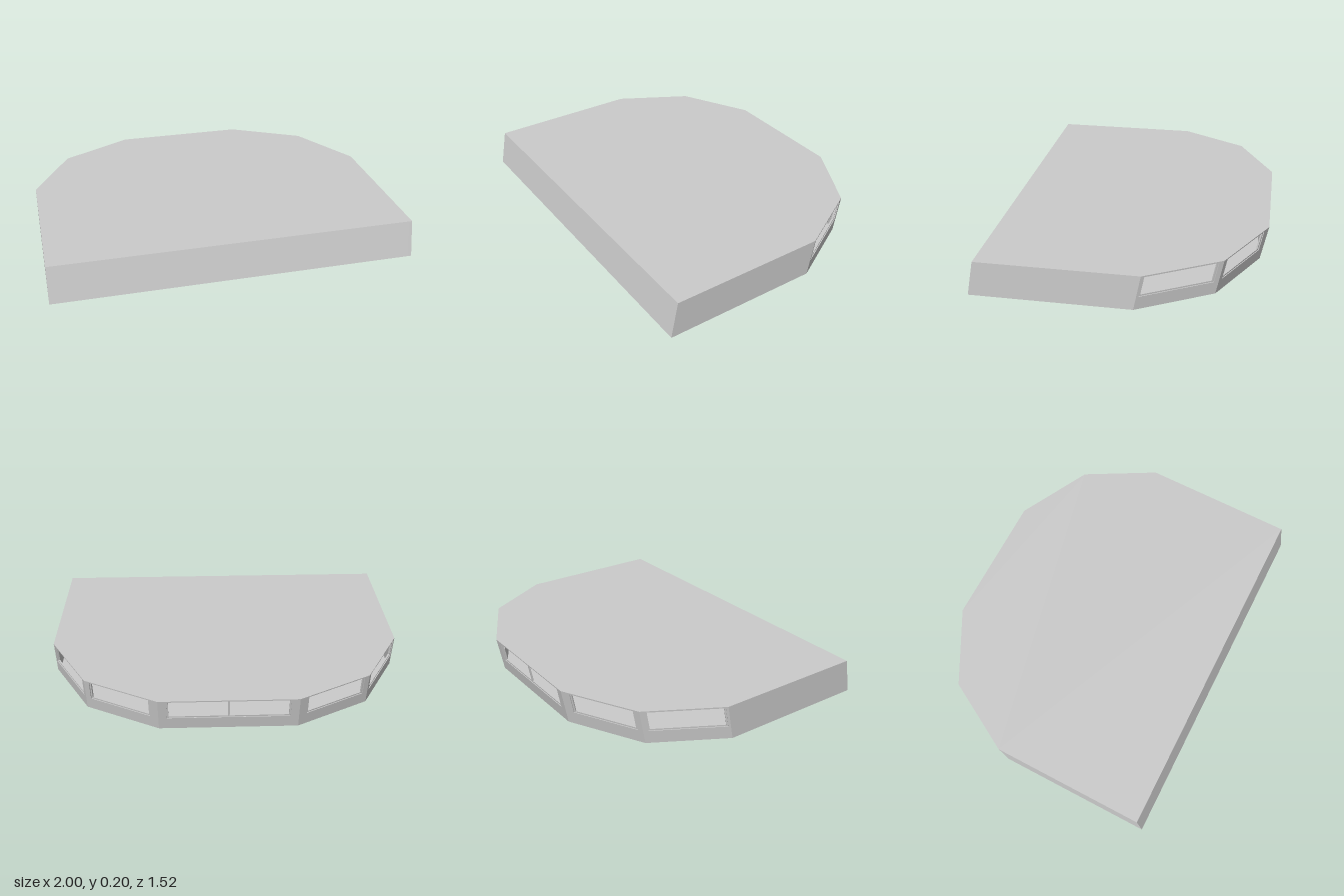
import * as THREE from 'three';

const HEIGHT = 0.2, LEAN = -0.2;      // the whole body leans back: z shifts by LEAN * y
const SLAB = 0.006, WALL = 0.018, BAR = 0.009;
const SILL = 0.076, HEAD = 0.193;

// Ground outline [x, z], anticlockwise from above
const half = [[1, 0.76], [1, -0.11], [0.78, -0.505], [0.375, -0.72]];
const outline = [...half, ...half.map(([x, z]) => [-x, z]).reverse()];

// Window span along each edge (fractions) and number of panes
const edges = [
  { name: 'rightSideWall' },
  { name: 'rightRearWall', from: 0.03, to: 0.94, panes: 1 },
  { name: 'rightBackWall', from: 0.07, to: 0.89, panes: 1 },
  { name: 'backWall', from: 0.06, to: 0.94, panes: 2 },
  { name: 'leftBackWall', from: 0.11, to: 0.93, panes: 1 },
  { name: 'leftRearWall', from: 0.06, to: 0.97, panes: 1 },
  { name: 'leftSideWall' },
  { name: 'frontWall' },
];

const material = new THREE.MeshStandardMaterial({ color: 0xcccccc, flatShading: true });

function rect(PathType, x0, y0, x1, y1) {
  return new PathType([[x0, y0], [x1, y0], [x1, y1], [x0, y1]].map(p => new THREE.Vector2(...p)));
}

function extrude(name, shape, depth, matrix) {
  const geometry = new THREE.ExtrudeGeometry(shape, { depth, bevelEnabled: false });
  const mesh = new THREE.Mesh(geometry.applyMatrix4(matrix), material);
  mesh.name = name;
  return mesh;
}

// Horizontal plate with the body outline, its edge following the lean
function slab(name, y) {
  const shape = new THREE.Shape(outline.map(([x, z]) => new THREE.Vector2(x, -z)));
  const matrix = new THREE.Matrix4().makeBasis(
    new THREE.Vector3(1, 0, 0), new THREE.Vector3(0, 0, -1), new THREE.Vector3(0, 1, LEAN));
  matrix.setPosition(0, y, LEAN * y);
  return extrude(name, shape, SLAB, matrix);
}

// Leaning wall from one outline corner to the next, with an optional framed window
function wall([ax, az], [bx, bz], { name, from, to, panes }) {
  const group = new THREE.Group();
  group.name = name;
  const along = new THREE.Vector3(bx - ax, 0, bz - az);
  const length = along.length();
  along.normalize();
  const up = new THREE.Vector3(0, 1, LEAN);
  const out = new THREE.Vector3(-along.z, 0, along.x);
  const place = inset => new THREE.Matrix4().makeBasis(along, up, out)
    .setPosition(ax - out.x * inset, 0, az - out.z * inset);

  const panel = rect(THREE.Shape, 0, SLAB, length, HEIGHT - SLAB);
  if (panes) {
    const x0 = from * length, x1 = to * length;
    panel.holes.push(rect(THREE.Path, x0, SILL, x1, HEAD));
    // Slim frame set back in the opening, with a bar between panes
    const frame = rect(THREE.Shape, x0, SILL, x1, HEAD);
    const step = (x1 - x0 - BAR) / panes;
    for (let i = 0; i < panes; i++) {
      const left = x0 + BAR + i * step;
      frame.holes.push(rect(THREE.Path, left, SILL + BAR, left + step - BAR, HEAD - BAR / 2));
    }
    group.add(extrude('windowFrame', frame, 0.009, place(0.014)));
  }
  group.add(extrude('wallPanel', panel, WALL, place(WALL)));
  return group;
}

export function createModel() {
  const model = new THREE.Group();
  model.name = 'cabin';
  model.add(slab('floor', 0), slab('roof', HEIGHT - SLAB));
  // 'out' is the left-hand side of travel, so edges run with the outside facing it
  edges.forEach((edge, i) => {
    model.add(wall(outline[i], outline[(i + 1) % outline.length], edge));
  });
  return model;
}
